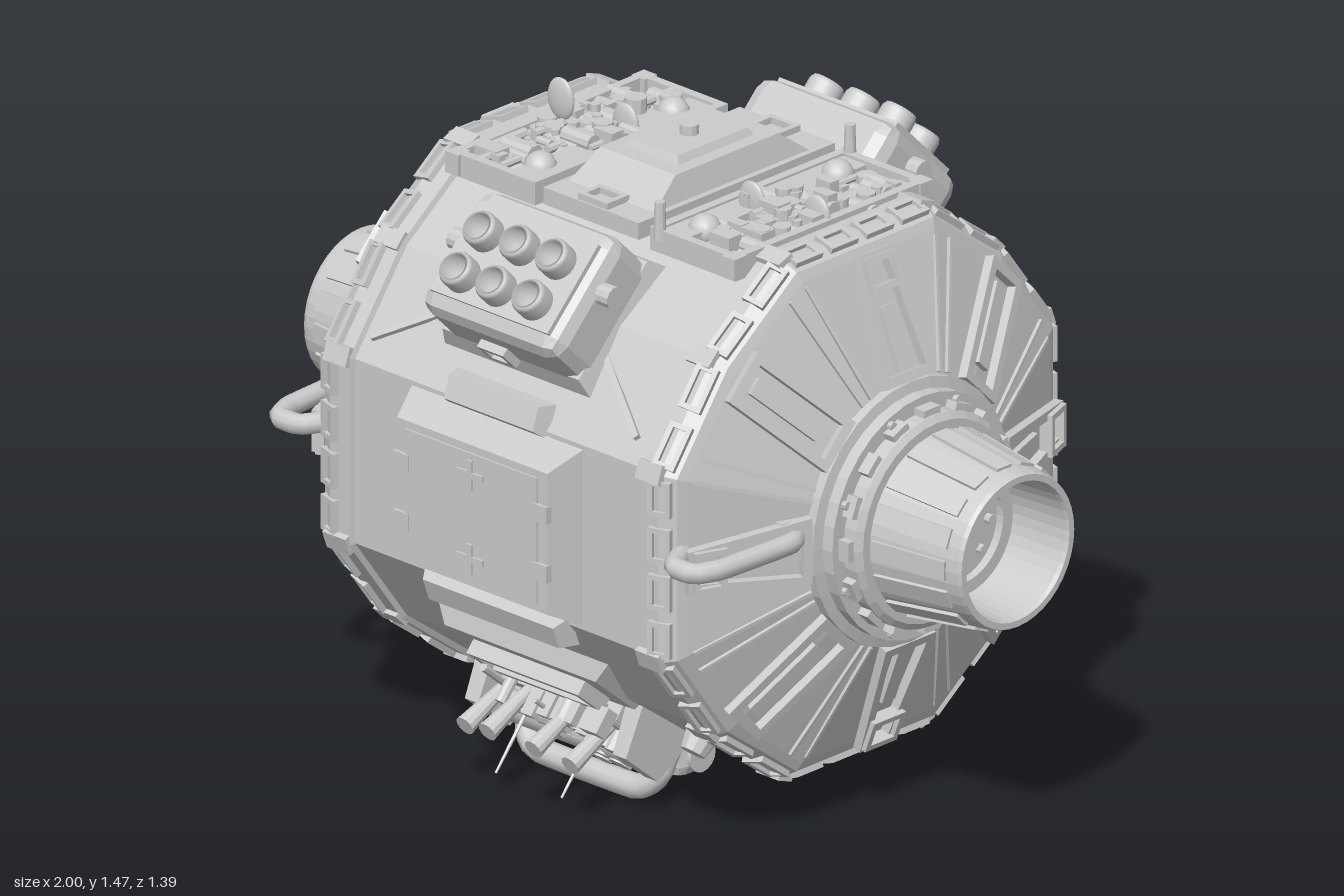
import * as THREE from 'three';
import { RoundedBoxGeometry } from 'three/addons/geometries/RoundedBoxGeometry.js';

const flat = new THREE.MeshStandardMaterial({ color: 0xcccccc, flatShading: true, side: THREE.DoubleSide });
const smooth = new THREE.MeshStandardMaterial({ color: 0xcccccc, side: THREE.DoubleSide });
const CY = 0.74, D = Math.PI / 180;

let seed = 7;
const rnd = (a = 0, b = 1) => { seed = (seed * 16807) % 2147483647; return a + (b - a) * seed / 2147483647; };

function add(parent, name, geo, x = 0, y = 0, z = 0, mat = flat) {
  const m = new THREE.Mesh(geo, mat);
  m.name = name;
  m.position.set(x, y, z);
  parent.add(m);
  return m;
}
function group(parent, name, rx = 0, ry = 0) {
  const g = new THREE.Group();
  g.name = name;
  g.rotation.set(rx, ry, 0);
  parent.add(g);
  return g;
}
const box = (w, h, d) => new THREE.BoxGeometry(w, h, d);
const cyl = (r1, r2, h, n = 20) => new THREE.CylinderGeometry(r1, r2, h, n);
const cylX = (r, h, n = 20) => cyl(r, r, h, n).rotateZ(Math.PI / 2);
const tube = (pts, r, n = 32) => new THREE.TubeGeometry(
  new THREE.CatmullRomCurve3(pts.map(p => new THREE.Vector3(...p)), false, 'catmullrom', 0.2), n, r, 10);

// Box whose top shrinks by sx, sz
function taper(w, h, d, sx, sz) {
  const g = box(w, h, d), p = g.attributes.position;
  for (let i = 0; i < p.count; i++) if (p.getY(i) > 0) p.setXYZ(i, p.getX(i) * sx, p.getY(i), p.getZ(i) * sz);
  g.computeVertexNormals();
  return g;
}
// Frame in the xz plane, thickness h upwards; flare widens the -x end and narrows the +x end
function frame(w, d, t, h, flare = 0) {
  const s = new THREE.Shape(), o = new THREE.Path();
  const rect = (q, a, b) => q.moveTo(-a, -b - flare).lineTo(a, -b + flare).lineTo(a, b - flare).lineTo(-a, b + flare).closePath();
  rect(s, w / 2, d / 2);
  rect(o, w / 2 - t, d / 2 - t);
  s.holes.push(o);
  return new THREE.ExtrudeGeometry(s, { depth: h, bevelEnabled: false }).rotateX(-Math.PI / 2);
}
// Profile of [x, radius] points revolved round x
const latheX = (pts, n = 32) => new THREE.LatheGeometry(pts.map(([x, r]) => new THREE.Vector2(r, x)), n).rotateZ(-Math.PI / 2);

// Hull cross-section: wide faces at the four sides, narrower ones between
const angles = [], radii = [];
for (let q = 0; q < 4; q++) [[20, 0.655], [45, 0.635], [70, 0.655]].forEach(([a, r]) => { angles.push((q * 90 + a) * D); radii.push(r); });
function hullGeometry(profile) {
  const v = [], n = angles.length;
  const pt = (i, k) => { const [x, s] = profile[i], a = angles[k % n], r = radii[k % n] * s; return [x, r * Math.cos(a), r * Math.sin(a)]; };
  for (let i = 0; i + 1 < profile.length; i++) for (let k = 0; k < n; k++) {
    const a = pt(i, k), b = pt(i, k + 1), c = pt(i + 1, k + 1), d = pt(i + 1, k);
    v.push(...a, ...b, ...c, ...a, ...c, ...d);
  }
  const g = new THREE.BufferGeometry();
  g.setAttribute('position', new THREE.Float32BufferAttribute(v, 3));
  g.computeVertexNormals();
  return g;
}

// Scatter of small machinery blocks, drums and pipes in the xz plane
function machinery(parent, name, cx, y, cz, w, d, h, count) {
  const g = group(parent, name);
  for (let i = 0; i < count; i++) {
    const x = cx + rnd(-0.5, 0.5) * w * 0.85, z = cz + rnd(-0.5, 0.5) * d * 0.9, s = rnd(0.015, 0.045), k = i % 4;
    const geo = k === 0 ? cyl(s * 0.6, s * 0.6, h, 10) : k === 1 ? cylX(s * 0.5, s * 2, 10)
      : k === 2 ? cyl(s * 0.3, s * 0.3, s * 3, 8).rotateX(Math.PI / 2) : box(s * 1.5, h * 0.9, s);
    add(g, 'fitting', geo, x, y + rnd(0.2, 0.7) * h, z);
  }
}

function endCap(core, side) {
  const end = group(core, side > 0 ? 'leftEnd' : 'rightEnd', 0, side > 0 ? 0 : Math.PI);
  // Stepped hub and hollow nozzle
  add(end, 'hub', latheX([[0.62, 0.31], [0.675, 0.31], [0.68, 0.285], [0.71, 0.285], [0.71, 0.25], [0.745, 0.25], [0.755, 0.235], [0.755, 0.15]]));
  add(end, 'nozzle', latheX([[0.74, 0.215], [0.99, 0.182], [1, 0.178], [1, 0.163], [0.99, 0.16], [0.84, 0.15], [0.84, 0.12], [0.82, 0.12], [0.82, 0.06], [0.85, 0.05], [0.85, 0]], 40));
  for (let i = 0; i < 16; i++) {
    const p = group(end, 'nozzleRib', i * Math.PI / 8);
    add(p, 'nozzlePlate', box(0.2, 0.012, 0.045), 0.86, 0.199, 0).rotation.z = 0.131 - 0.262;
    add(p, 'hubClamp', box(0.03, 0.02, 0.05), 0.725, 0.255, 0);
    if (i % 2) add(p, 'hubBolt', cylX(0.01, 0.02, 8), 0.712, 0.268, 0);
    if (i % 2 === 0) add(p, 'innerBolt', cylX(0.012, 0.02, 8), 0.826, 0.09, 0);
  }
  // Radial spoke panels widening to the rim, each with a slot
  for (let i = 0; i < 8; i++) {
    const s = group(group(end, 'spoke', i * Math.PI / 4), 'spokePanel'), diag = i % 2;
    s.position.set(0.605, 0.445, 0);
    s.rotation.z = 0.364;
    add(s, 'spokeFrame', frame(0.3, 0.13, 0.022, 0.022, diag ? 0 : -0.014).rotateZ(Math.PI / 2).rotateX(Math.PI).rotateY(Math.PI), -0.004, 0, 0);
    add(s, 'spokeInset', box(0.014, diag ? 0.2 : 0.15, 0.042), 0.004, diag ? 0.01 : -0.05, 0);
    if (!diag) add(s, 'spokeWindow', frame(0.08, 0.1, 0.014, 0.03).rotateZ(-Math.PI / 2), 0, 0.1, 0);
    for (const t of [-1, 1])
      add(group(end, 'seamPivot', (i * 45 + t * 20) * D), 'capSeam', box(0.008, 0.3, 0.008), 0.604, 0.455, 0).rotation.z = 0.364;
  }
  // Rim windows following each face of the hull, clamps at the corners
  for (let k = 0, n = angles.length; k < n; k++) {
    const j = (k + 1) % n;
    const P = new THREE.Vector2(Math.cos(angles[k]), Math.sin(angles[k])).multiplyScalar(radii[k]);
    const Q = new THREE.Vector2(Math.cos(angles[j]), Math.sin(angles[j])).multiplyScalar(radii[j]);
    const len = P.distanceTo(Q), cells = Math.round(len / 0.12);
    const face = group(end, 'rimFace', Math.atan2(P.x - Q.x, Q.y - P.y));
    face.position.set(0, (P.x + Q.x) / 2, (P.y + Q.y) / 2);
    for (let c = 0; c < cells; c++)
      add(face, 'rimWindow', frame(0.055, len / cells * 0.75, 0.012, 0.014), 0.5, -0.008, ((c + 0.5) / cells - 0.5) * len).rotation.z = -0.3;
    add(group(end, 'rimJoint', angles[k]), 'rimClamp', box(0.07, 0.03, 0.045), 0.475, radii[k] - 0.008, 0);
  }
}

function halfDetails(core, back) {
  const half = group(core, back ? 'backSide' : 'frontSide', 0, back ? Math.PI : 0);
  // Armoured door with hinges and top and bottom tabs
  const door = group(half, 'sideDoor', Math.PI / 2);
  add(door, 'doorPanel', taper(0.52, 0.08, 0.42, 0.88, 0.8), 0, 0.645, 0);
  add(door, 'doorPlate', box(0.4, 0.012, 0.3), 0, 0.684, 0);
  for (const z of [-1, 1]) {
    add(door, 'doorTab', taper(z < 0 ? 0.3 : 0.44, 0.04, 0.08, 0.9, 0.7), 0, 0.607, z * 0.245).rotation.x = z * 0.35;
    add(door, 'doorCrossBar', box(0.08, 0.016, 0.015), 0, 0.688, z * 0.1);
    add(door, 'doorCrossPost', box(0.015, 0.016, 0.07), 0, 0.688, z * 0.1);
    for (const x of [-1, 1]) add(door, 'doorLatch', box(0.045, 0.03, 0.04), x * 0.21, 0.678, z * 0.07);
  }
  // Six-tube launcher
  const gun = group(half, 'launcher', Math.PI / 4);
  add(gun, 'launcherBase', taper(0.46, 0.08, 0.36, 0.9, 0.85), 0, 0.605, 0);
  add(gun, 'launcherBox', new RoundedBoxGeometry(0.42, 0.18, 0.31, 1, 0.04), 0, 0.685, 0);
  add(gun, 'launcherFace', box(0.36, 0.02, 0.23), 0, 0.773, 0);
  add(gun, 'launcherVent', frame(0.08, 0.06, 0.014, 0.02).rotateX(Math.PI / 2), 0, 0.68, 0.16);
  for (const x of [-0.11, 0, 0.11]) for (const z of [-0.045, 0.06])
    add(gun, 'launchTube', new THREE.LatheGeometry([[0.034, 0.75], [0.042, 0.76], [0.042, 0.82], [0.037, 0.83], [0.03, 0.83], [0.028, 0.787], [0, 0.787]].map(p => new THREE.Vector2(...p)), 20), x, 0, z, smooth);
  for (const x of [-1, 1]) {
    add(gun, 'launcherKnob', cylX(0.026, 0.05, 12), x * 0.22, 0.72, -0.03);
    add(gun, 'launcherStrut', box(0.26, 0.012, 0.014), x * 0.3, 0.607, 0.14).rotation.y = -x * 0.65;
  }
  // Underside machinery bay
  const bay = group(half, 'lowerBay', 140 * D);
  add(bay, 'bayApron', taper(0.54, 0.06, 0.42, 0.85, 0.85), 0, 0.6, 0.01);
  add(bay, 'bayWindow', frame(0.34, 0.1, 0.02, 0.045), 0, 0.62, -0.08);
  add(bay, 'bayBlock', box(0.38, 0.07, 0.18), 0, 0.63, 0.09);
  machinery(bay, 'bayMachinery', 0, 0.65, 0.07, 0.42, 0.22, 0.07, 70);
  add(bay, 'bayDrum', cylX(0.05, 0.42), 0, 0.68, 0.13, smooth);
  add(bay, 'lowerPipe', tube([[-0.21, 0.6, 0.17], [-0.2, 0.71, 0.2], [-0.15, 0.752, 0.21], [0.15, 0.752, 0.21], [0.2, 0.71, 0.2], [0.21, 0.6, 0.17]], 0.029), 0, 0, 0, smooth);
  for (const x of [-1, 1]) {
    add(bay, 'bayCheek', taper(0.05, 0.15, 0.22, 0.8, 0.6), x * 0.225, 0.66, 0.09);
    // Lug pointing straight down beside the belly
    const lug = group(bay, 'capsuleLug', 40 * D);
    lug.position.set(x * 0.17, 0.615, 0.255);
    add(lug, 'capsuleBlock', new RoundedBoxGeometry(0.11, 0.13, 0.13, 1, 0.03));
    add(lug, 'capsuleBoss', cylX(0.04, 0.13, 16), 0, 0.015, 0, smooth);
    add(bay, 'footBlock', cyl(0.03, 0.04, 0.05, 10), x * 0.31, 0.625, 0.14);
    for (const t of [0, 1])
      add(bay, 'barrel', cyl(0.024, 0.013, 0.16, 12), x * (0.07 + t * 0.09), 0.73, -0.03 + t * 0.03).rotation.x = -0.45;
    add(bay, 'antenna', cyl(0.003, 0.006, 0.2, 6), x * 0.1, 0.76, 0.06);
  }
}

export function createModel() {
  const root = new THREE.Group();
  root.name = 'sphericalPod';
  const core = group(root, 'core');
  core.position.y = CY;

  // Faceted hull and both end caps
  const p = [[0.435, 0.98], [0.44, 1], [0.5, 1], [0.535, 0.965], [0.545, 0.93], [0.665, 0.43], [0.665, 0]];
  add(core, 'hull', hullGeometry([...p.map(([x, s]) => [-x, s]).reverse(), ...p]));
  endCap(core, 1);
  endCap(core, -1);
  halfDetails(core, false);
  halfDetails(core, true);

  // Top deck with turret block
  const deck = group(core, 'topDeck');
  add(deck, 'deckSpine', box(0.29, 0.04, 0.62), 0, 0.605, 0);
  add(deck, 'turret', taper(0.27, 0.08, 0.54, 0.85, 0.6), 0, 0.645, 0);
  add(deck, 'turretHatch', taper(0.17, 0.025, 0.25, 0.85, 0.88), 0, 0.69, 0);
  add(deck, 'turretKnob', cyl(0.022, 0.022, 0.04, 12), 0, 0.705, 0);
  for (const z of [-1, 1]) add(deck, 'spineHatch', frame(0.09, 0.07, 0.014, 0.02), 0, 0.62, z * 0.27);
  for (const x of [-1, 1]) {
    // Open equipment bays
    add(deck, 'bayRim', frame(0.26, 0.61, 0.022, 0.055), x * 0.305, 0.57, 0);
    add(deck, 'bayShelf', box(0.09, 0.035, 0.56), x * 0.225, 0.602, 0);
    machinery(deck, 'deckMachinery', x * 0.345, 0.59, 0, 0.14, 0.56, 0.04, 64);
    machinery(deck, 'deckMachinery', x * 0.3, 0.595, 0, 0.2, 0.16, 0.055, 24);
    for (const z of [-0.21, 0.21]) {
      add(deck, 'dome', new THREE.SphereGeometry(0.038, 16, 10), x * 0.25, 0.61, z, smooth);
      add(deck, 'cornerLug', box(0.04, 0.05, 0.04), x * 0.42, 0.6, z * 1.4);
    }
  }
  for (const z of [-0.3, 0.3]) add(deck, 'post', cyl(0.012, 0.015, 0.09, 10), 0.2, 0.645, z);
  [[-0.37, 0.68, 0.02], [0.25, 0.63, 0.06], [-0.25, 0.63, -0.06], [0.39, 0.62, 0]].forEach(([x, y, z]) =>
    add(deck, 'dish', new THREE.SphereGeometry(0.04, 14, 10).scale(1, 1.25, 0.3), x, y, z, smooth));

  // Belly fittings
  add(core, 'bellyPlate', box(0.4, 0.03, 0.26), 0, -0.615, 0);
  add(core, 'bellyKnob', new THREE.CapsuleGeometry(0.028, 0.03, 6, 12), 0, -0.632, 0, smooth);
  for (const x of [-1, 1]) {
    add(core, 'bellyLug', cyl(0.035, 0.03, 0.04, 10), x * 0.3, -0.625, 0);
    // Curved side handles on the front
    add(core, 'handle', tube([[x * 0.63, 0.035, 0.32], [x * 0.665, 0.035, 0.37], [x * 0.655, 0.035, 0.58], [x * 0.63, 0.035, 0.64], [x * 0.57, 0.035, 0.64], [x * 0.53, 0.035, 0.57]], 0.024), 0, 0, 0, smooth);
    add(core, 'handleMount', box(0.05, 0.08, 0.07), x * 0.62, 0.035, 0.34);
  }
  return root;
}
